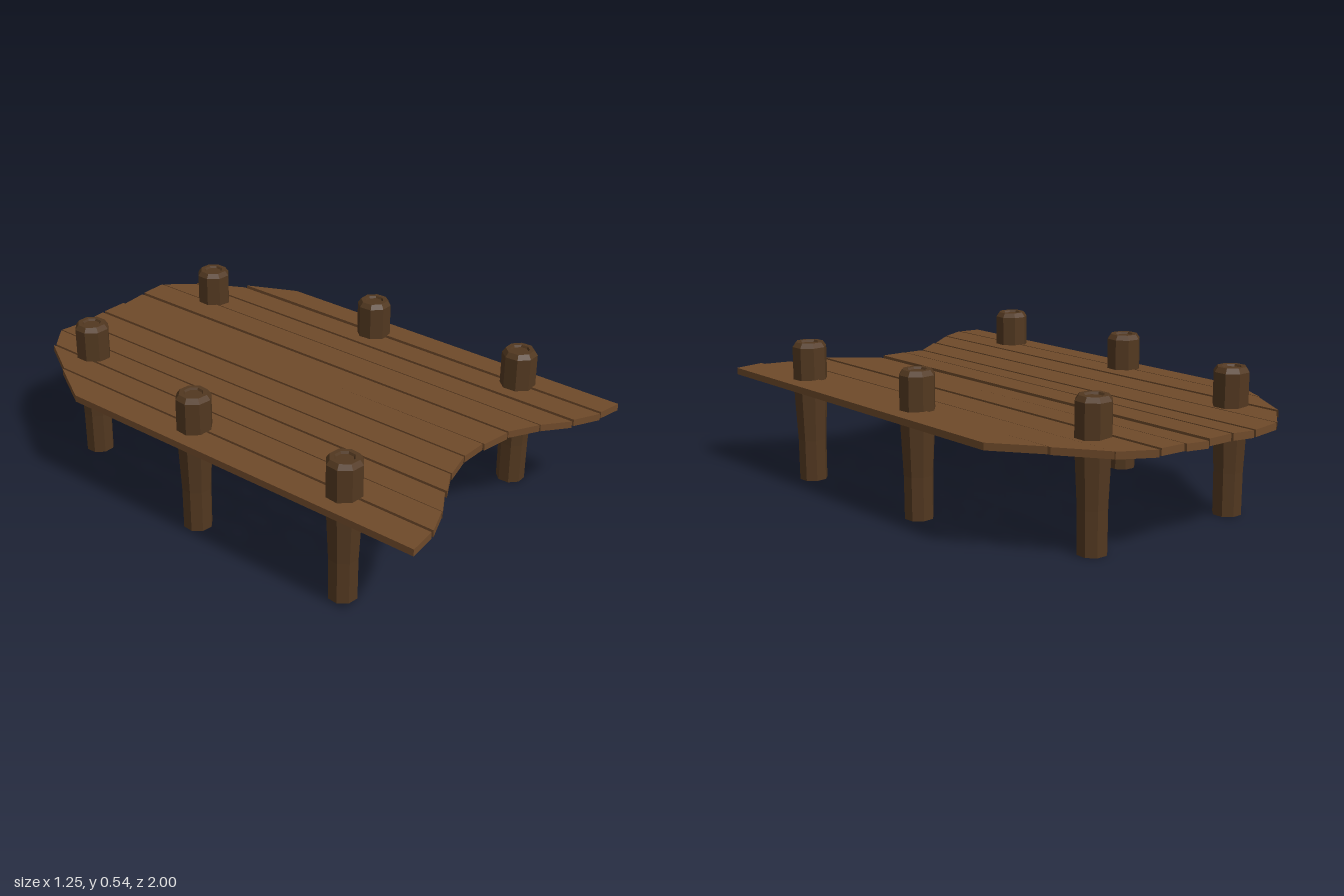
import * as THREE from 'three';

const plankMaterial = new THREE.MeshStandardMaterial({ color: 0x6f4a2a, flatShading: true });
const postMaterial = new THREE.MeshStandardMaterial({ color: 0x523820, flatShading: true });

// Outline of the deck, sampled at the seams from the centre outwards
const SEAMS = [0.057, 0.17, 0.284, 0.397, 0.512, 0.627];
const FRONT = [0.795, 0.82, 0.88, 0.945, 0.99, 1.0];
const BACK = [-1, -1, -1, -0.91, -0.73, -0.54];
// Height of each plank's top at its -x and +x edge
const TOPS = [
  [0.401, 0.407], [0.408, 0.407], [0.405, 0.4], [0.4, 0.393], [0.392, 0.4], [0.401, 0.402],
  [0.395, 0.404], [0.407, 0.41], [0.407, 0.4], [0.402, 0.398], [0.403, 0.396],
];
const THICKNESS = 0.026;
const GAP = 0.009;

function seam(i) {
  const k = i < 6 ? 5 - i : i - 6;
  return { x: (i < 6 ? -1 : 1) * SEAMS[k], front: FRONT[k], back: BACK[k] };
}

// A board cut to the deck outline, rolled slightly to one side
function makePlank(i) {
  const a = seam(i), b = seam(i + 1);
  const x0 = a.x + GAP / 2, x1 = b.x - GAP / 2;
  const skew = 0.0025 * Math.sin(i * 2.3);
  const shape = new THREE.Shape([
    new THREE.Vector2(x0 + skew, -a.front),
    new THREE.Vector2(x1 + skew, -b.front),
    new THREE.Vector2(x1 - skew, -b.back),
    new THREE.Vector2(x0 - skew, -a.back),
  ]);
  const geometry = new THREE.ExtrudeGeometry(shape, { depth: THICKNESS, bevelEnabled: false });
  geometry.rotateX(-Math.PI / 2);
  const p = geometry.attributes.position;
  const [t0, t1] = TOPS[i];
  for (let v = 0; v < p.count; v++) {
    const t = (p.getX(v) - x0) / (x1 - x0);
    p.setY(v, p.getY(v) - THICKNESS + t0 + (t1 - t0) * t);
  }
  geometry.computeVertexNormals();
  const mesh = new THREE.Mesh(geometry, plankMaterial);
  mesh.name = `plank${i + 1}`;
  return mesh;
}

// Eight-sided post, wider at the head, with a chamfered and dished top
const postGeometry = new THREE.LatheGeometry(
  [[0, 0], [0.054, 0], [0.055, 0.16], [0.066, 0.38], [0.066, 0.525], [0.053, 0.543], [0.036, 0.543], [0.032, 0.535], [0, 0.535]]
    .map(([r, y]) => new THREE.Vector2(r, y)), 8);

function makePost(name, x, z, turn) {
  const mesh = new THREE.Mesh(postGeometry, postMaterial);
  mesh.name = name;
  mesh.position.set(x, 0, z);
  mesh.rotation.y = turn;
  return mesh;
}

export function createModel() {
  const model = new THREE.Group();
  model.name = 'woodenDock';

  const deck = new THREE.Group();
  deck.name = 'deck';
  for (let i = 0; i < TOPS.length; i++) deck.add(makePlank(i));

  const posts = new THREE.Group();
  posts.name = 'posts';
  posts.add(
    makePost('frontRightPost', -0.512, 0.637, 0.3),
    makePost('frontLeftPost', 0.512, 0.637, 0.45),
    makePost('middleRightPost', -0.512, -0.04, 0.3),
    makePost('middleLeftPost', 0.51, -0.04, 0.45),
    makePost('backRightPost', -0.357, -0.73, 0.4),
    makePost('backLeftPost', 0.317, -0.73, 0.35),
  );

  model.add(deck, posts);
  return model;
}
